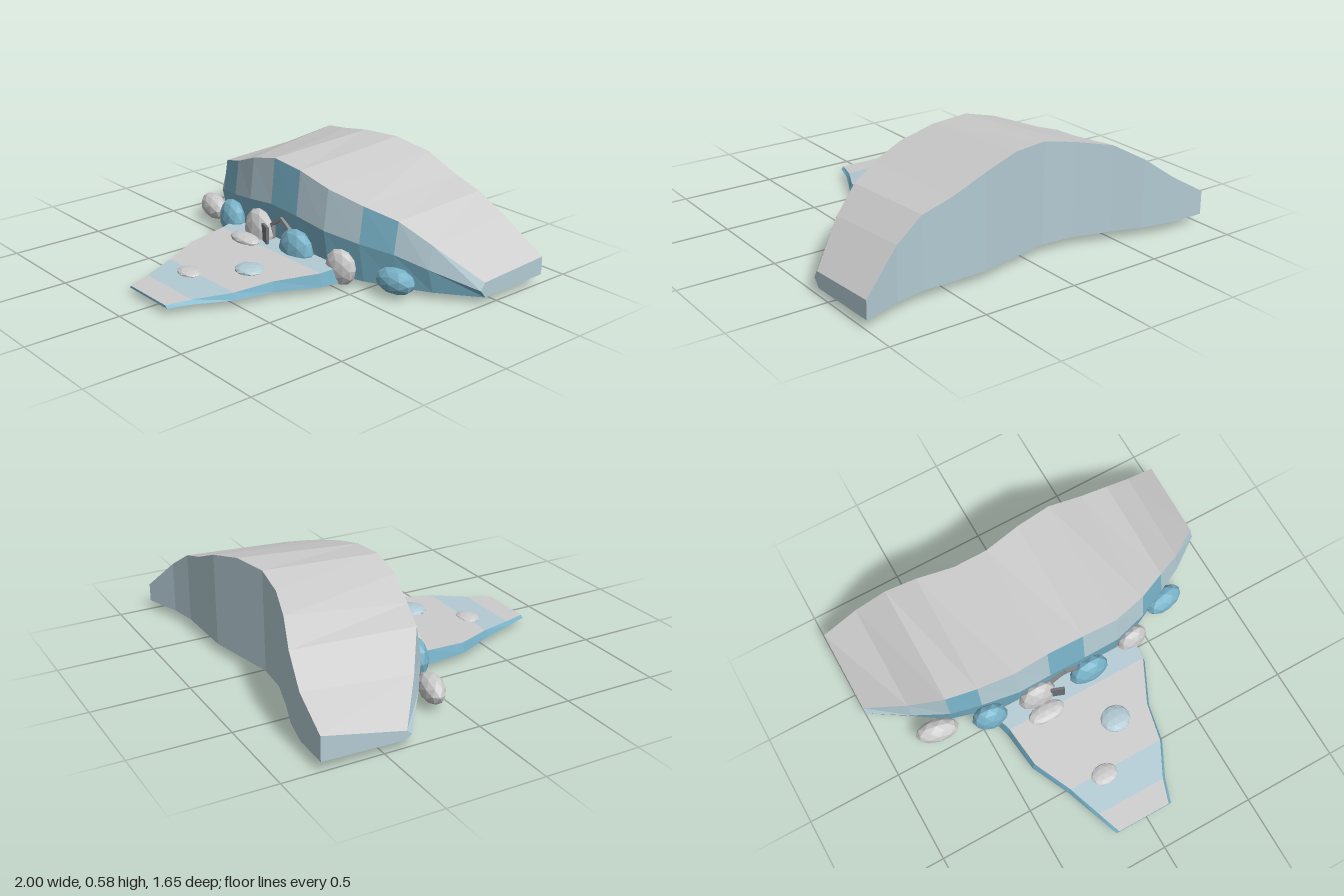
import * as THREE from 'three';

const PALE = 0xcbcecb, ICE = 0xb3cad3, BLUE = 0x78b2c8, DARK = 0x44606c, STONE = 0x8a8d8d;

const material = (color) =>
  new THREE.MeshStandardMaterial({ color, flatShading: true, side: THREE.DoubleSide });

function addMesh(parent, name, geometry, color, position = [0, 0, 0], rotation = [0, 0, 0]) {
  const mesh = new THREE.Mesh(geometry, material(color));
  mesh.name = name;
  mesh.position.set(...position);
  mesh.rotation.set(...rotation);
  parent.add(mesh);
  return mesh;
}

// Collects polygons by name and colour, then makes one flat-shaded mesh of each set
class Facets {
  constructor() { this.sets = new Map(); }
  polygon(name, color, points) {
    const key = `${name}|${color}`;
    if (!this.sets.has(key)) this.sets.set(key, { name, color, data: [] });
    const { data } = this.sets.get(key);
    for (let k = 1; k < points.length - 1; k++) {
      data.push(...points[0], ...points[k], ...points[k + 1]);
    }
  }
  addTo(group) {
    for (const { name, color, data } of this.sets.values()) {
      const geometry = new THREE.BufferGeometry();
      geometry.setAttribute('position', new THREE.Float32BufferAttribute(data, 3));
      geometry.computeVertexNormals();
      addMesh(group, name, geometry, color);
    }
  }
}

// Hollow snow mound: sections across x with a sloping roof and a folded front wall
function createMound() {
  const group = new THREE.Group();
  group.name = 'mound';
  // x, back z, back top y, front z, front top y
  const profile = [
    [-1, -0.81, 0.175, -0.385, 0.085],
    [-0.8, -0.805, 0.29, -0.23, 0.235],
    [-0.63, -0.77, 0.41, -0.115, 0.38],
    [-0.47, -0.715, 0.5, -0.07, 0.425],
    [-0.28, -0.66, 0.54, -0.025, 0.5],
    [-0.1, -0.645, 0.575, -0.02, 0.545],
    [0.1, -0.685, 0.578, -0.02, 0.53],
    [0.3, -0.725, 0.535, -0.03, 0.485],
    [0.49, -0.728, 0.46, -0.09, 0.435],
    [0.65, -0.73, 0.415, -0.17, 0.385],
    [0.8, -0.757, 0.32, -0.255, 0.285],
    [1, -0.825, 0.145, -0.41, 0.12],
  ];
  const sections = profile.map(([x, zb, yb, zf, yf]) => [
    [x, 0.05, zb],
    [x, yb, zb],
    [x, yf, zf],
    [x, 0.04 + (yf - 0.04) * 0.52, zf + 0.025],
    [x, 0.04, zf - 0.01],
  ]);
  const blueColumns = [2, 5, 8];
  const bands = [
    ['backWall', () => ICE],
    ['roof', () => PALE],
    ['upperFrontWall', (i) => (blueColumns.includes(i) ? BLUE : ICE)],
    ['lowerFrontWall', () => BLUE],
  ];
  const facets = new Facets();
  for (let i = 0; i < sections.length - 1; i++) {
    const a = sections[i], b = sections[i + 1];
    bands.forEach(([name, color], j) =>
      facets.polygon(name, color(i), [a[j], a[j + 1], b[j + 1], b[j]]));
  }
  facets.polygon('endWall', ICE, sections[sections.length - 1]);
  facets.polygon('endWall', ICE, [...sections[0]].reverse());
  facets.addTo(group);
  return group;
}

// Tapering ramp in front of the mound
function createRamp() {
  const group = new THREE.Group();
  group.name = 'ramp';
  // z, left x, right x, top y
  const rows = [
    [-0.02, -0.43, 0.41, 0.115],
    [0.1, -0.395, 0.4, 0.108],
    [0.32, -0.37, 0.295, 0.09],
    [0.52, -0.275, 0.255, 0.075],
    [0.7, -0.21, 0.165, 0.06],
    [0.825, -0.165, 0.125, 0.052],
  ];
  const sections = rows.map(([z, l, r, y]) =>
    [[r + 0.015, 0.04, z], [r, y, z], [l, y, z], [l - 0.015, 0.04, z]]);
  const names = ['rampSide', 'rampTop', 'rampSide', 'rampUnderside'];
  const facets = new Facets();
  for (let i = 0; i < sections.length - 1; i++) {
    const a = sections[i], b = sections[i + 1];
    const colors = [BLUE, i === 0 || i === 3 ? ICE : PALE, BLUE, DARK];
    for (let j = 0; j < 4; j++) {
      const k = (j + 1) % 4;
      facets.polygon(names[j], colors[j], [a[j], a[k], b[k], b[j]]);
    }
  }
  facets.polygon('rampEnd', BLUE, sections[sections.length - 1]);
  facets.polygon('rampEnd', BLUE, [...sections[0]].reverse());
  facets.addTo(group);
  return group;
}

function addRock(parent, name, color, position, size, turn = 0) {
  addMesh(parent, name, new THREE.IcosahedronGeometry(1, 1), color, position, [0, turn, 0])
    .scale.set(...size);
}

// Round chamber floor under the mound, with a foundation slab and a ring of blocks
function createChamber() {
  const group = new THREE.Group();
  group.name = 'chamber';
  addMesh(group, 'chamberFloor', new THREE.CylinderGeometry(0.285, 0.285, 0.014, 20), STONE,
    [0, 0.04, -0.175]);
  addMesh(group, 'foundationSlab', new THREE.BoxGeometry(0.34, 0.008, 0.36), STONE,
    [0, 0.03, -0.17]);
  for (let i = 0; i < 7; i++) {
    const angle = Math.PI + (i - 3) * 0.4;
    addMesh(group, 'chamberBlock', new THREE.BoxGeometry(0.085, i % 2 ? 0.12 : 0.1, 0.05), PALE,
      [Math.sin(angle) * 0.21, 0.1, -0.175 + Math.cos(angle) * 0.21], [0, angle, 0]);
  }
  return group;
}

// Small gabled entrance with an open door
function createEntrance() {
  const group = new THREE.Group();
  group.name = 'entrance';
  const cx = -0.018;
  for (const side of [-1, 1]) {
    addMesh(group, 'gableBeam', new THREE.BoxGeometry(0.105, 0.016, 0.025), STONE,
      [cx + side * 0.042, 0.216, 0.0], [0, 0, -side * 0.6]);
    addMesh(group, 'doorPost', new THREE.BoxGeometry(0.014, 0.15, 0.02), STONE,
      [cx + side * 0.075, 0.118, 0.0]);
  }
  addMesh(group, 'door', new THREE.BoxGeometry(0.075, 0.1, 0.014), 0x6e7274,
    [-0.088, 0.15, 0.055], [0, -0.35, 0]);
  return group;
}

export function createModel() {
  const model = new THREE.Group();
  model.name = 'snowShelter';
  model.add(createMound(), createRamp(), createChamber(), createEntrance());

  // Boulders along the foot of the front wall
  const boulders = [
    [PALE, [-0.72, 0.095, -0.085], [0.115, 0.07, 0.06], -0.2],
    [BLUE, [-0.45, 0.12, -0.01], [0.096, 0.108, 0.06], -0.15],
    [PALE, [-0.185, 0.13, 0.015], [0.105, 0.128, 0.055], 0],
    [BLUE, [0.118, 0.12, 0.02], [0.112, 0.115, 0.06], 0.05],
    [PALE, [0.405, 0.11, -0.025], [0.09, 0.095, 0.05], 0.15],
    [BLUE, [0.67, 0.093, -0.14], [0.11, 0.068, 0.06], 0.2],
  ];
  for (const [color, position, size, turn] of boulders) {
    addRock(model, 'boulder', color, position, size, turn);
  }

  // Flat lumps lying on the ramp
  addRock(model, 'rampLump', PALE, [-0.185, 0.112, 0.11], [0.103, 0.028, 0.055]);
  addRock(model, 'rampLump', ICE, [0.11, 0.092, 0.31], [0.08, 0.024, 0.075]);
  addRock(model, 'rampLump', PALE, [-0.085, 0.074, 0.535], [0.073, 0.02, 0.057]);
  return model;
}
